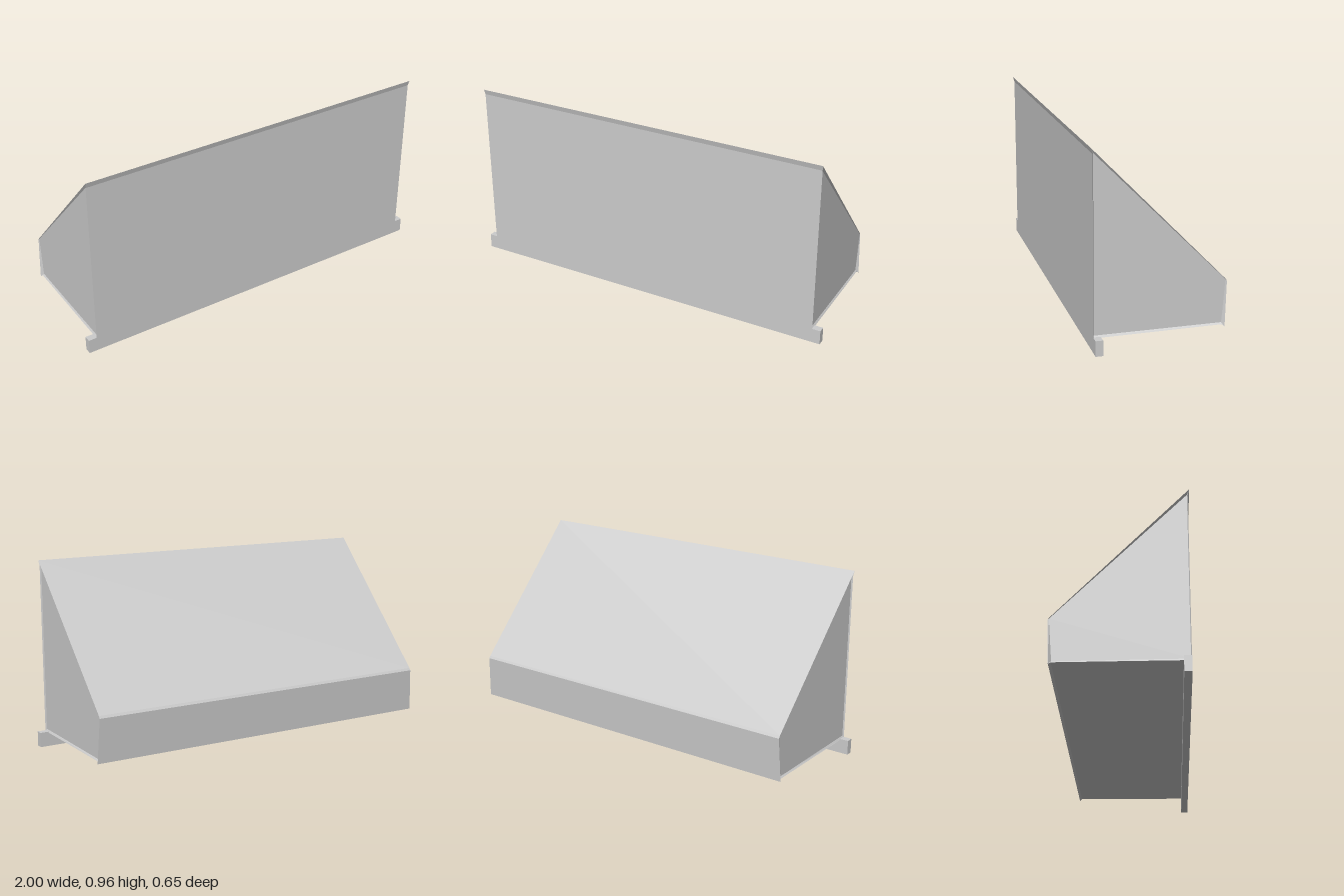
import * as THREE from 'three';

const material = new THREE.MeshStandardMaterial({ color: 0xcccccc, flatShading: true, side: THREE.DoubleSide });

// Cross-section at the +x end, clockwise as seen from +x: [x, y, z]
const rim = [
  [0.957, 0.072, 0.32],    // front bottom
  [0.957, 0.935, 0.32],    // front top
  [0.96, 0.962, 0.327],    // top lip
  [0.945, 0.3, -0.317],    // bevel between slope and back
  [0.945, 0.288, -0.325],
  [0.957, 0.065, -0.315],  // bottom back lip
  [0.95, 0.075, -0.303],
];

// Inset end panel, and the panel corner each rim point joins to
const panel = [
  [0.95, 0.083, 0.316],
  [0.95, 0.938, 0.316],
  [0.943, 0.296, -0.318],
  [0.943, 0.083, -0.302],
];
const corner = [0, 1, 1, 2, 2, 3, 3];

const mirror = ([x, y, z]) => [-x, y, z];

// Mesh from quads; coinciding corners collapse to triangles
function quadMesh(name, quads) {
  const points = [];
  for (const [a, b, c, d] of quads) {
    for (const tri of [[a, b, c], [a, c, d]]) {
      if (new Set(tri.map(String)).size === 3) points.push(...tri.flat());
    }
  }
  const geometry = new THREE.BufferGeometry();
  geometry.setAttribute('position', new THREE.Float32BufferAttribute(points, 3));
  geometry.computeVertexNormals();
  const mesh = new THREE.Mesh(geometry, material);
  mesh.name = name;
  return mesh;
}

export function createModel() {
  const group = new THREE.Group();
  group.name = 'slopedHousing';

  // Front, slope, back and floor run the full width
  const shell = rim.map((p, i) => {
    const q = rim[(i + 1) % rim.length];
    return [p, q, mirror(q), mirror(p)];
  });
  group.add(quadMesh('shell', shell));

  // End panels with their flared edge strips
  const strips = rim.map((p, i) => {
    const j = (i + 1) % rim.length;
    return [p, panel[corner[i]], panel[corner[j]], rim[j]];
  });
  const leftEnd = [...strips, [...panel].reverse()];
  const rightEnd = leftEnd.map((quad) => quad.map(mirror).reverse());
  group.add(quadMesh('leftEnd', leftEnd), quadMesh('rightEnd', rightEnd));

  // Rail under the front edge
  const rail = new THREE.Mesh(new THREE.BoxGeometry(2, 0.076, 0.036), material);
  rail.name = 'frontRail';
  rail.position.set(0, 0.038, 0.302);
  group.add(rail);

  return group;
}
